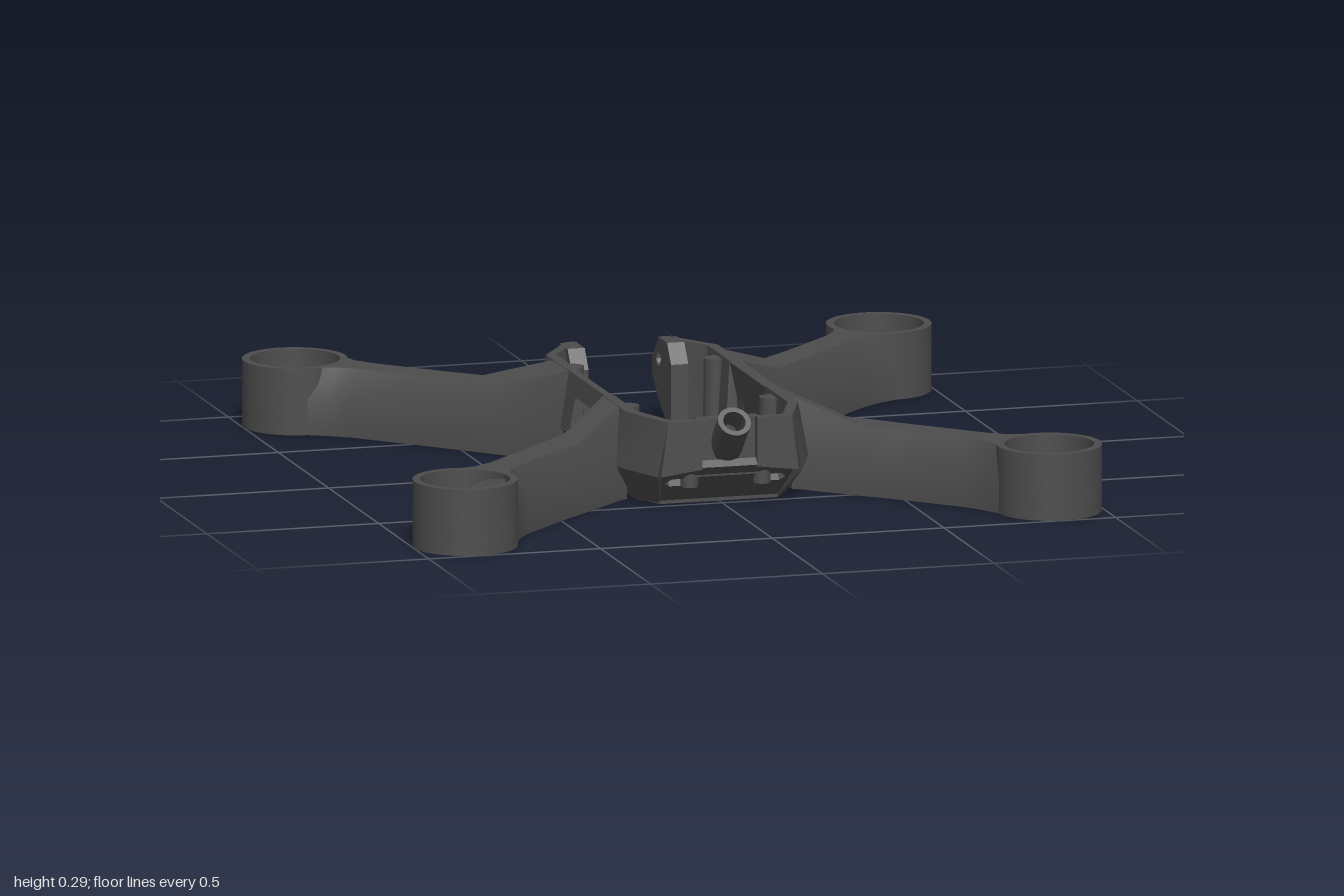
import * as THREE from 'three';
import { toCreasedNormals } from 'three/addons/utils/BufferGeometryUtils.js';

const material = new THREE.MeshStandardMaterial({ color: 0x4d4d4d });
const mesh = (name, geo) => {
  const m = new THREE.Mesh(toCreasedNormals(geo, 0.5), material);
  m.name = name;
  return m;
};
const poly = (pts) => new THREE.Shape(pts.map(([x, y]) => new THREE.Vector2(x, y)));
const disc = (x, y, r) => new THREE.Shape().absarc(x, y, r, 0, Math.PI * 2);
const extrude = (shape, depth) =>
  new THREE.ExtrudeGeometry(shape, { depth, bevelEnabled: false, curveSegments: 20 });
// Horizontal plate: shape (x, z) with its upper face at yTop
const slab = (shape, yTop, h) => extrude(shape, h).rotateX(Math.PI / 2).translate(0, yTop, 0);
// Upright plate: shape (z, y), thickness along x from x0
const upright = (shape, x0, t) => extrude(shape, t).rotateY(-Math.PI / 2).translate(x0 + t, 0, 0);

// Closed solid through equal-length cross-sections, always facing outwards
function loft(sections) {
  const n = sections[0].length, idx = [];
  const pts = sections.flat();
  for (let i = 0; i < sections.length - 1; i++)
    for (let j = 0; j < n; j++) {
      const a = i * n + j, b = i * n + (j + 1) % n;
      idx.push(a, b, b + n, a, b + n, a + n);
    }
  const e = (sections.length - 1) * n;
  for (let j = 1; j < n - 1; j++) idx.push(0, j + 1, j, e, e + j, e + j + 1);
  const v = pts.map((p) => new THREE.Vector3(...p));
  let volume = 0;
  for (let i = 0; i < idx.length; i += 3)
    volume += v[idx[i]].dot(v[idx[i + 1]].clone().cross(v[idx[i + 2]]));
  if (volume < 0) idx.reverse();
  const g = new THREE.BufferGeometry();
  g.setAttribute('position', new THREE.Float32BufferAttribute(pts.flat(), 3));
  g.setIndex(idx);
  return g;
}

// Motor cup: drilled base and a round wall
function motorCup(sx, sz) {
  const g = new THREE.Group();
  g.name = 'motorCup';
  const base = disc(0, 0, 0.148);
  base.holes.push(disc(0, 0, 0.047));
  for (const [x, y] of [[1, 0], [-1, 0], [0, 1], [0, -1]])
    base.holes.push(disc(x * 0.076, y * 0.076, 0.019));
  const wall = disc(0, 0, 0.148);
  wall.holes.push(disc(0, 0, 0.126));
  g.add(mesh('cupBase', slab(base, 0.03, 0.03)), mesh('cupWall', slab(wall, 0.19, 0.16)));
  g.position.set(sx * 0.85, 0, sz * 0.85);
  return g;
}

// Diagonal arm: upright sides, chamfered shoulders, rising where it meets the body
function arm(sx, sz) {
  const tCup = 0.85 * Math.SQRT2;
  const section = (hw, tAt) => {
    const row = [];
    const top = hw - 0.035;
    const add = (s, y) => {
      const t = tAt(s), x = (t - s) / Math.SQRT2, z = (t + s) / Math.SQRT2;
      const rise = y > 0.15 ? 0.065 * THREE.MathUtils.clamp((0.41 - x) / 0.16, 0, 1) : 0;
      row.push([sx * x, y + rise, sz * z]);
    };
    for (let k = -4; k <= 4; k++) add(hw * k / 4, 0);
    add(hw, 0.1);
    for (let k = 4; k >= -4; k--) add(top * k / 4, 0.19);
    add(-hw, 0.1);
    return row;
  };
  const atX = (x) => (s) => x * Math.SQRT2 + s;
  const aroundCup = (s) => tCup - Math.sqrt(0.137 ** 2 - s * s);
  return mesh('arm', loft([
    section(0.095, atX(0.24)),
    section(0.09, atX(0.26)),
    section(0.085, atX(0.41)),
    section(0.08, () => 0.75),
    section(0.08, () => 0.98),
    section(0.09, (s) => Math.min(1.04, aroundCup(s) - 0.004)),
    section(0.118, aroundCup),
  ]));
}

// Body floor with slanted cut-outs and screw holes
function floor() {
  const half = [[0.12, -0.44], [0.19, -0.44], [0.22, -0.38], [0.22, 0.38], [0.17, 0.47]];
  const shape = poly([...half, ...half.map(([x, z]) => [-x, z]).reverse()]);
  for (const s of [1, -1]) {
    for (const z of [-0.38, -0.09, 0.18])
      shape.holes.push(poly([[0.04, 0], [0.04, 0.05], [0.125, 0.13], [0.158, 0.14], [0.152, 0.105], [0.065, 0.005]]
        .map(([x, d]) => [s * x, z + d])));
    for (const z of [-0.14, 0.13]) shape.holes.push(disc(s * 0.135, z, 0.018));
  }
  return mesh('floor', slab(shape, 0.03, 0.03));
}

// Sloped front floor with two strap slots
function frontRamp() {
  const shape = poly([[-0.17, 0], [0.17, 0], [0.195, 0.17], [-0.195, 0.17]]);
  for (const s of [1, -1])
    shape.holes.push(poly([[0.085, 0.1], [0.1, 0.085], [0.16, 0.085], [0.175, 0.1], [0.16, 0.12], [0.1, 0.12]]
      .map(([x, y]) => [s * x, y])));
  return mesh('frontRamp', slab(shape, 0.025, 0.025).rotateX(-Math.PI / 4).translate(0, 0, 0.46));
}

// Everything on one side of the body
function bodySide(s) {
  const g = new THREE.Group();
  g.name = s > 0 ? 'leftSide' : 'rightSide';
  const station = (mx, mz, bx, bz) => [
    [s * bx, 0, bz], [s * mx, 0.1, mz], [s * (mx - 0.03), 0.255, mz],
    [s * (mx - 0.06), 0.255, mz], [s * (bx - 0.02), 0, bz]];
  g.add(mesh('rearWall', loft([
    station(0.18, -0.55, 0.17, -0.45), station(0.28, -0.4, 0.22, -0.39), station(0.28, -0.18, 0.22, -0.16)])));
  g.add(mesh('frontWall', loft([
    station(0.28, 0.18, 0.22, 0.16), station(0.28, 0.4, 0.22, 0.39), station(0.21, 0.58, 0.17, 0.46)])));

  // Middle panel over a slanted sill, with a window on one side only
  const sill = (zm, zb) => [[s * 0.22, 0, zb], [s * 0.28, 0.1, zm], [s * 0.245, 0.1, zm], [s * 0.2, 0, zb]];
  g.add(mesh('sill', loft([sill(-0.18, -0.16), sill(0.18, 0.16)])));
  const panel = poly([[-0.18, 0], [0.18, 0], [0.18, 0.158], [-0.18, 0.158]]);
  if (s < 0) panel.holes.push(poly([[-0.07, 0.02], [0.07, 0.02], [0.07, 0.1], [-0.07, 0.1]]));
  const side = mesh('sidePanel', upright(panel, -0.015, 0.03));
  side.position.set(s * 0.265, 0.099, 0);
  side.rotation.z = s * 0.19;
  g.add(side);

  // Camera ear at the back
  const ear = poly([[-0.42, 0.02], [-0.46, 0.02], [-0.56, 0.09], [-0.61, 0.14], [-0.61, 0.19],
    [-0.54, 0.255], [-0.46, 0.255], [-0.42, 0.2]]);
  ear.holes.push(disc(-0.545, 0.195, 0.022));
  g.add(mesh('cameraEar', upright(ear, s > 0 ? 0.12 : -0.17, 0.05)));

  // Front plate beside the antenna
  g.add(mesh('frontPlate', loft([0.58, 0.55].map((z) =>
    [[s * 0.08, 0.115, z], [s * 0.2, 0.1, z], [s * 0.18, 0.255, z], [s * 0.08, 0.255, z]]))));

  // Screw posts
  for (const [x, z, r, y0, y1] of [[0.205, -0.28, 0.03, 0.02, 0.245], [0.205, 0.27, 0.03, 0.02, 0.245],
    [0.19, 0.35, 0.022, 0.02, 0.2], [0.105, 0.535, 0.025, 0.06, 0.15]])
    g.add(mesh('screwPost', new THREE.CylinderGeometry(r, r, y1 - y0, 16).translate(s * x, (y0 + y1) / 2, z)));
  return g;
}

export function createModel() {
  const model = new THREE.Group();
  model.name = 'quadcopterFrame';
  for (const sx of [1, -1]) {
    for (const sz of [1, -1]) model.add(motorCup(sx, sz), arm(sx, sz));
    model.add(bodySide(sx));
  }
  model.add(floor(), frontRamp());

  // Recessed centre of the front wall
  model.add(mesh('frontCentre', new THREE.BoxGeometry(0.18, 0.165, 0.03).translate(0, 0.1725, 0.54)));

  // Tilted antenna tube
  const ring = disc(0, 0, 0.047);
  ring.holes.push(disc(0, 0, 0.032));
  model.add(mesh('antennaTube', extrude(ring, 0.15).rotateX(-Math.PI / 4).translate(0, 0.151, 0.517)));
  return model;
}
